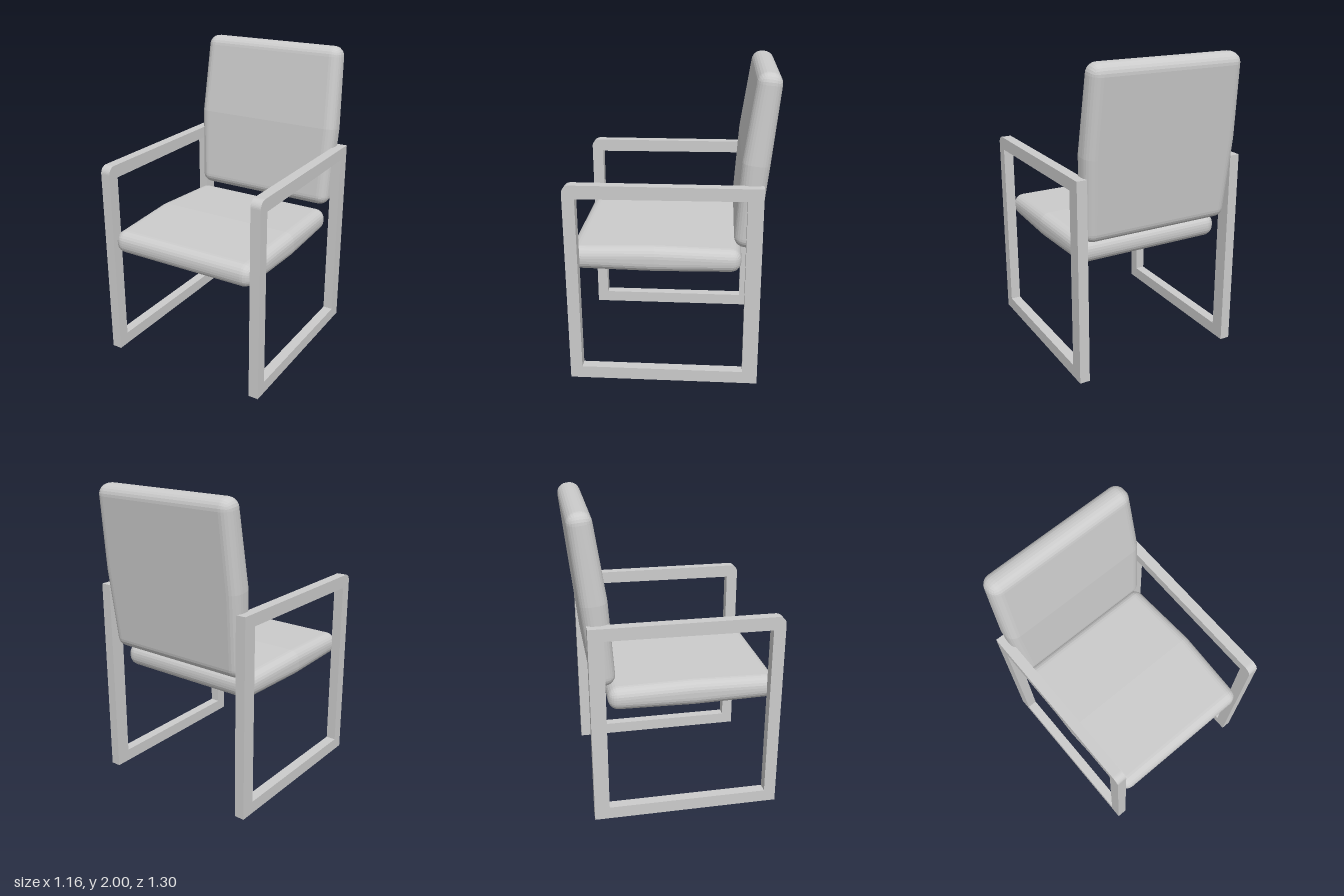
import * as THREE from 'three';

const frameMaterial = new THREE.MeshStandardMaterial({ color: 0xcccccc });
const cushionMaterial = new THREE.MeshStandardMaterial({ color: 0xcccccc, flatShading: true });

// Rounded cushion lying flat: soft edges, crowned on top and at the sides along its middle
function cushionGeometry(width, height, length, radius, crown, sideCrown) {
  const steps = 3; // facets per 45 degrees of rounding
  const n = steps + 1;
  const half = [width / 2, height / 2, length / 2];
  const geometry = new THREE.BoxGeometry(2 * n, 2 * n, 2 * n, 2 * n, 2 * n, 2 * n);
  const pos = geometry.attributes.position;
  const core = new THREE.Vector3();
  const offset = new THREE.Vector3();
  for (let i = 0; i < pos.count; i++) {
    for (let axis = 0; axis < 3; axis++) {
      const t = Math.round(pos.getComponent(i, axis));
      const side = Math.sign(t);
      core.setComponent(axis, side * (half[axis] - radius));
      offset.setComponent(axis, side * Math.tan(((Math.abs(t) - 1) / steps) * Math.PI / 4));
    }
    offset.setLength(radius);
    // The crown peaks at mid length and fades to nothing at both ends
    const peak = 1 - Math.abs(core.z) / (half[2] - radius);
    core.x += Math.sign(core.x) * sideCrown * peak;
    if (core.y > 0) core.y += crown * peak;
    core.add(offset);
    pos.setXYZ(i, core.x, core.y, core.z);
  }
  geometry.computeVertexNormals();
  return geometry;
}

// Closed side frame: floor rail, two legs and armrest, with a rounded front top corner
function sideFrameGeometry(thickness) {
  const back = -0.57, front = 0.648, top = 1.33, r = 0.05;
  const shape = new THREE.Shape();
  shape.moveTo(back, 0);
  shape.lineTo(front, 0);
  shape.lineTo(front, top - r);
  shape.absarc(front - r, top - r, r, 0, Math.PI / 2, false);
  shape.lineTo(back, top);
  shape.closePath();
  const hole = new THREE.Path();
  hole.moveTo(-0.473, 0.082);
  hole.lineTo(-0.473, 1.25);
  hole.lineTo(0.57, 1.244);
  hole.lineTo(0.57, 0.082);
  hole.closePath();
  shape.holes.push(hole);
  const geometry = new THREE.ExtrudeGeometry(shape, {
    depth: thickness, bevelEnabled: false, curveSegments: 5,
  });
  geometry.translate(0, 0, -thickness / 2);
  geometry.rotateY(-Math.PI / 2);
  return geometry;
}

export function createModel() {
  const model = new THREE.Group();
  model.name = 'armchair';

  // Side frames
  const frame = sideFrameGeometry(0.067);
  for (const [name, side] of [['leftFrame', 1], ['rightFrame', -1]]) {
    const mesh = new THREE.Mesh(frame, frameMaterial);
    mesh.name = name;
    mesh.position.x = side * 0.5475;
    model.add(mesh);
  }

  // Seat and backrest share one cushion shape
  const cushion = cushionGeometry(1.03, 0.153, 1.097, 0.068, 0.018, 0.018);

  const seat = new THREE.Mesh(cushion, cushionMaterial);
  seat.name = 'seat';
  seat.position.set(-0.004, 0.812, 0.098);
  model.add(seat);

  // Backrest stands on end with its crown forward, leaning back
  const backrest = new THREE.Mesh(cushion, cushionMaterial);
  backrest.name = 'backrest';
  backrest.position.set(-0.004, 1.452, -0.527);
  backrest.rotation.x = Math.PI / 2 - 0.108;
  model.add(backrest);

  return model;
}
